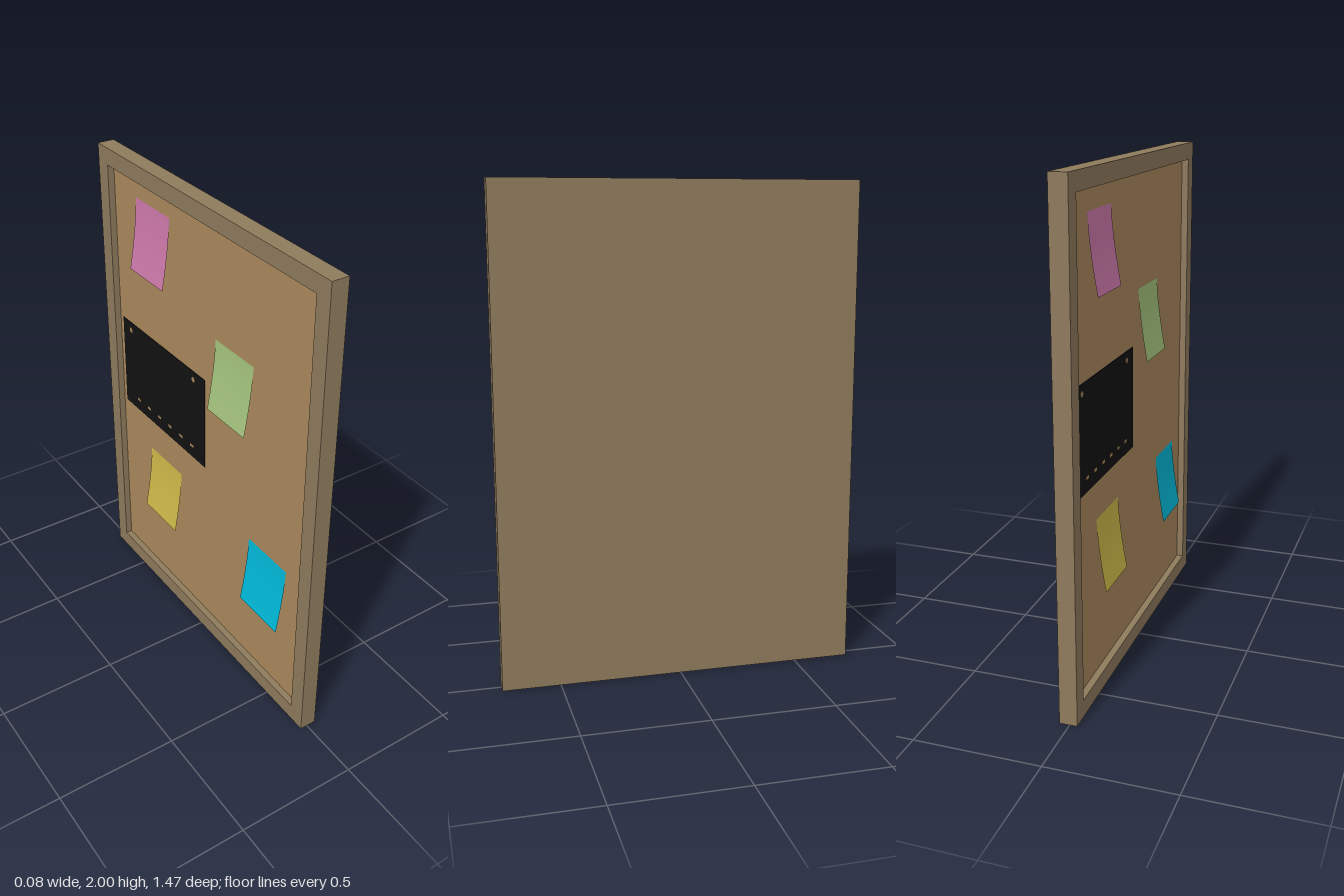
import * as THREE from 'three';

const mat = (name, color, side = THREE.FrontSide) => {
  const m = new THREE.MeshStandardMaterial({ color, side });
  m.name = name;
  return m;
};

export function createModel() {
  const board = new THREE.Group();
  board.name = 'pinBoard';
  const wood = mat('frame wood', 0x8f7b5d);
  const cork = mat('cork', 0xab8a5e);
  const black = mat('poster black', 0x111111);
  const H = 2, W = 1.47, RIM = 0.07;

  const add = (name, geometry, material, x = 0, y = 0, z = 0) => {
    const mesh = new THREE.Mesh(geometry, material);
    mesh.name = name;
    mesh.position.set(x, y, z);
    board.add(mesh);
    return mesh;
  };

  // solid backing board
  add('backing', new THREE.BoxGeometry(0.04, H, W), wood, 0.02, H / 2, 0);

  // raised rim around the recess, facing -x
  const rect = (T, w, y0, y1) => new T([
    new THREE.Vector2(-w / 2, y0), new THREE.Vector2(w / 2, y0),
    new THREE.Vector2(w / 2, y1), new THREE.Vector2(-w / 2, y1),
  ]);
  const rim = rect(THREE.Shape, W, 0, H);
  rim.holes.push(rect(THREE.Path, W - 2 * RIM, RIM, H - RIM));
  const rimGeo = new THREE.ExtrudeGeometry(rim, { depth: 0.03, bevelEnabled: false });
  add('frame', rimGeo.rotateY(-Math.PI / 2), wood);

  // cork surface inside the rim
  add('corkPanel', new THREE.BoxGeometry(0.002, H - 2 * RIM, W - 2 * RIM), cork, -0.001, H / 2, 0);

  // dark poster with a pin in each upper corner and a row of small marks
  add('poster', new THREE.BoxGeometry(0.003, 0.415, 0.63), black, -0.003, 1.053, -0.325);
  for (const z of [-0.575, -0.09]) {
    add('posterPin', new THREE.CylinderGeometry(0.012, 0.012, 0.002, 8).rotateZ(Math.PI / 2), cork, -0.005, 1.225, z);
  }
  for (let i = 0; i < 6; i++) {
    add('posterMark', new THREE.BoxGeometry(0.001, 0.012, 0.025), cork, -0.005, 0.9, -0.53 + i * 0.085);
  }

  // paper notes, fixed at the top and curling away from the board at the bottom
  const NOTE_W = 0.245, NOTE_H = 0.295;
  const noteGeo = new THREE.PlaneGeometry(NOTE_W, NOTE_H, 1, 10).rotateY(-Math.PI / 2);
  const p = noteGeo.attributes.position;
  for (let i = 0; i < p.count; i++) {
    const t = 0.5 - p.getY(i) / NOTE_H;
    p.setX(i, -0.003 - 0.037 * Math.pow(t, 1.5));
  }
  noteGeo.computeVertexNormals();
  [
    ['pink', 0xcd79aa, 1.7, -0.375],
    ['green', 0xa5c47d, 1.33, 0.185],
    ['blue', 0x00b9d9, 0.54, 0.43],
    ['yellow', 0xcdb949, 0.55, -0.315],
  ].forEach(([name, color, y, z]) => {
    add(name + 'Note', noteGeo, mat(name + ' paper', color, THREE.DoubleSide), 0, y, z);
  });

  return board;
}
